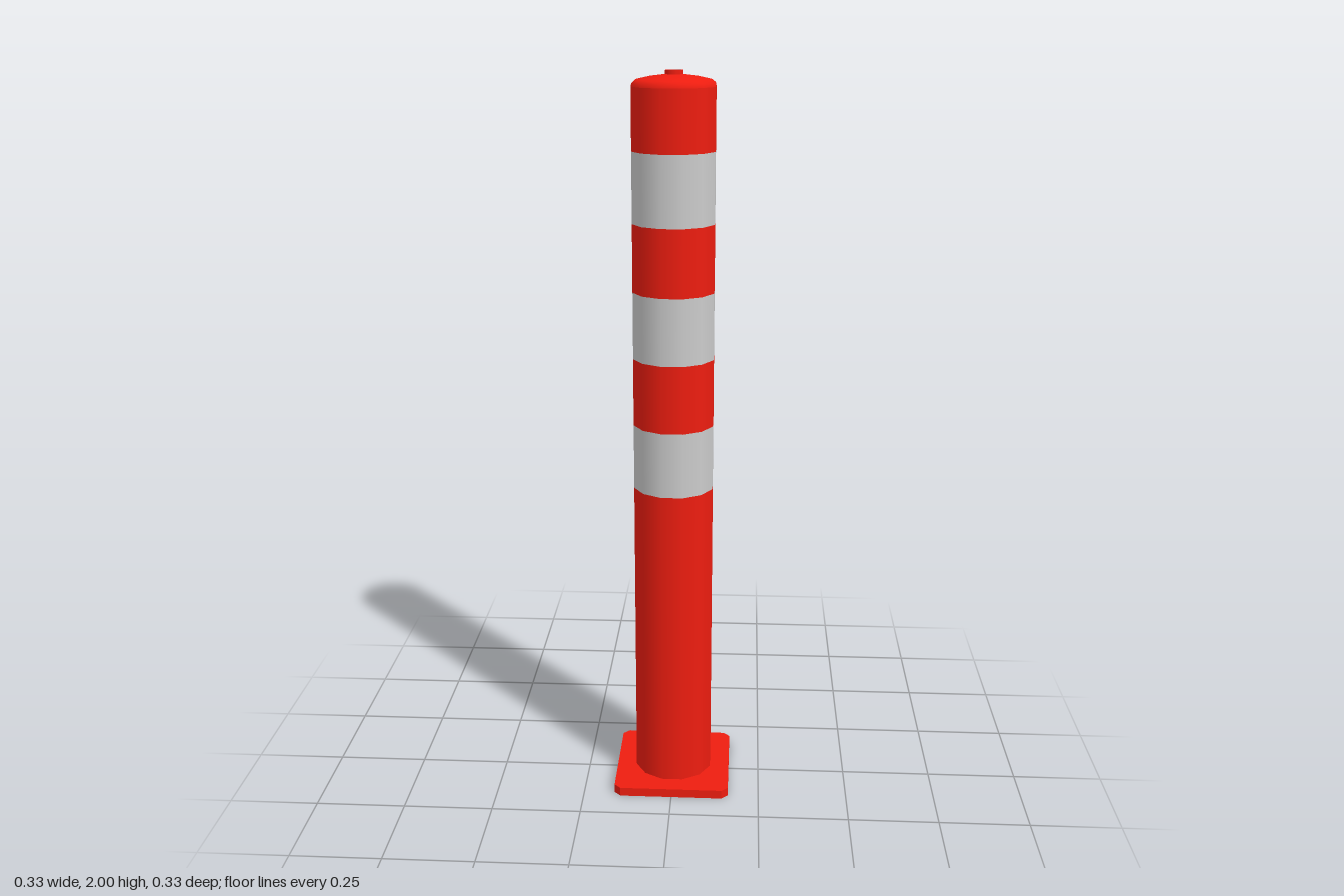
import * as THREE from 'three';

const SIDES = 12, R = 0.112, PLATE_TOP = 0.025;
const red = new THREE.MeshStandardMaterial({ color: 0xee1d10, side: THREE.DoubleSide });
const grey = new THREE.MeshStandardMaterial({ color: 0xcccccc, side: THREE.DoubleSide });

// Turned shell; the half-step start puts flats on the front, back and sides
function turned(name, profile, material = red) {
  const points = profile.map(([r, y]) => new THREE.Vector2(r, y));
  const mesh = new THREE.Mesh(new THREE.LatheGeometry(points, SIDES, Math.PI / SIDES), material);
  mesh.name = name;
  return mesh;
}

// Square foot with cut corners, hollow underneath and open into the post
function basePlate() {
  const h = 0.163, k = h - 0.018;
  const outline = [[h, -k], [h, k], [k, h], [-k, h], [-h, k], [-h, -k], [-k, -h], [k, -h]]
    .map(([x, z]) => new THREE.Vector2(x, z));
  const shape = new THREE.Shape(outline);
  const hole = [];
  for (let i = 0; i < SIDES; i++) {
    const a = -(i + 0.5) * 2 * Math.PI / SIDES;
    hole.push(new THREE.Vector2(R * Math.cos(a), R * Math.sin(a)));
  }
  shape.holes.push(new THREE.Path(hole));

  const plate = new THREE.Group();
  plate.name = 'basePlate';
  const top = new THREE.Mesh(new THREE.ShapeGeometry(shape), red);
  top.name = 'plateTop';
  top.rotation.x = -Math.PI / 2;
  top.position.y = PLATE_TOP;
  plate.add(top);

  // One upright panel per edge
  outline.forEach((a, i) => {
    const b = outline[(i + 1) % outline.length];
    const wall = new THREE.Mesh(new THREE.PlaneGeometry(a.distanceTo(b), PLATE_TOP), red);
    wall.name = 'plateEdge';
    wall.position.set((a.x + b.x) / 2, PLATE_TOP / 2, (a.y + b.y) / 2);
    wall.rotation.y = Math.atan2(b.y - a.y, -(b.x - a.x));
    wall.rotation.y = Math.atan2(wall.position.x, wall.position.z);
    plate.add(wall);
  });
  return plate;
}

export function createModel() {
  const model = new THREE.Group();
  model.name = 'bollard';
  model.add(basePlate());

  // Post in alternating red and reflective lengths
  const levels = [PLATE_TOP, 0.89, 1.07, 1.255, 1.435, 1.615, 1.8, 1.96];
  for (let i = 0; i < levels.length - 1; i++) {
    const band = i % 2 === 1;
    model.add(turned(band ? 'reflectiveBand' : 'postSection',
      [[R, levels[i]], [R, levels[i + 1]]], band ? grey : red));
  }

  // Shallow domed cap with a small open collar
  model.add(turned('cap', [[R, 1.96], [0.11, 1.969], [0.101, 1.977], [0.065, 1.985], [0.024, 1.99]]));
  model.add(turned('collarOuter', [[0.024, 1.988], [0.024, 2]]));
  model.add(turned('collarRim', [[0.024, 2], [0.019, 2]]));
  model.add(turned('collarInner', [[0.019, 2], [0.019, 1.98]]));
  return model;
}
